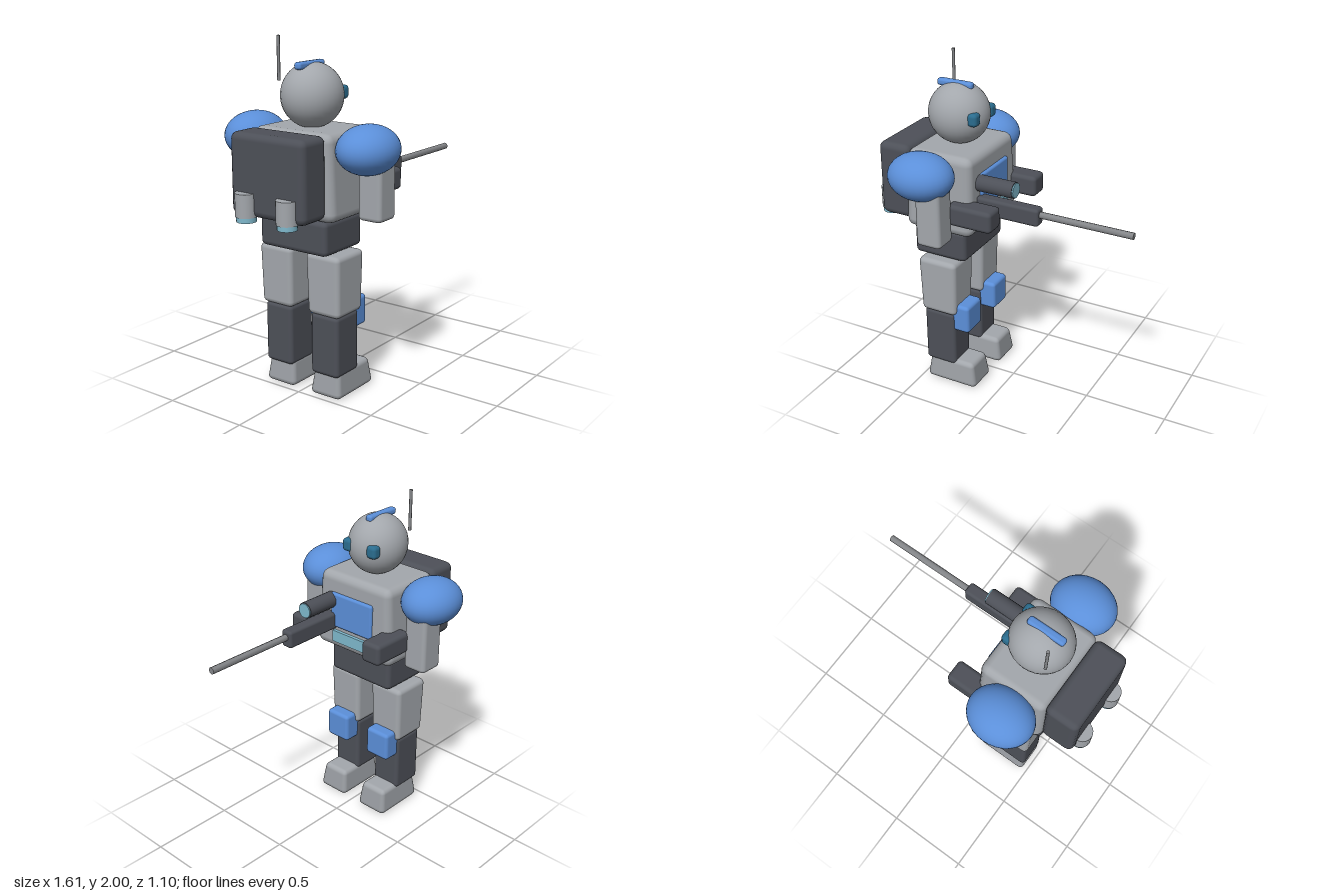
import * as THREE from 'three';
import { RoundedBoxGeometry } from 'three/addons/geometries/RoundedBoxGeometry.js';

const mat = (name, color) => {
  const m = new THREE.MeshStandardMaterial({ color });
  m.name = name;
  return m;
};

export function createModel() {
  const robot = new THREE.Group();
  robot.name = 'robot';
  const grey = mat('light grey armour', 0xa3a7ac);
  const dark = mat('dark grey metal', 0x4d5058);
  const blue = mat('blue armour', 0x5b8fd9);
  const steel = mat('barrel steel', 0x85878a);
  const eyeTeal = mat('deep teal glass', 0x2b6d8f);
  const paleTeal = mat('pale teal glow', 0x7fb8cc);

  const add = (name, geometry, material, x, y, z) => {
    const mesh = new THREE.Mesh(geometry, material);
    mesh.name = name;
    mesh.position.set(x, y, z);
    robot.add(mesh);
    return mesh;
  };

  // Soft-edged box given by its limits; taper scales x and z from bottom to top
  const block = (name, material, [x0, x1], [y0, y1], [z0, z1], r = 0.025, bottom = [1, 1], top = [1, 1]) => {
    const h = y1 - y0;
    const g = new RoundedBoxGeometry(x1 - x0, h, z1 - z0, 2, r);
    const p = g.attributes.position;
    if (bottom[0] !== 1 || bottom[1] !== 1 || top[0] !== 1 || top[1] !== 1) {
      for (let i = 0; i < p.count; i++) {
        const t = p.getY(i) / h + 0.5;
        p.setX(i, p.getX(i) * THREE.MathUtils.lerp(bottom[0], top[0], t));
        p.setZ(i, p.getZ(i) * THREE.MathUtils.lerp(bottom[1], top[1], t));
      }
    }
    return add(name, g, material, (x0 + x1) / 2, (y0 + y1) / 2, (z0 + z1) / 2);
  };

  const ball = (name, material, x, y, z, rx, ry, rz) =>
    add(name, new THREE.SphereGeometry(1, 32, 20), material, x, y, z).scale.set(rx, ry, rz);

  // Cylinder lying along x
  const rod = (name, material, x0, x1, y, z, r, sides) =>
    add(name, new THREE.CylinderGeometry(r, r, x1 - x0, sides).rotateZ(-Math.PI / 2), material, (x0 + x1) / 2, y, z);

  // Body
  block('torso', grey, [-0.56, -0.125], [1.04, 1.515], [-0.29, 0.29], 0.05, [1, 1], [0.95, 0.9]);
  block('pelvis', dark, [-0.54, -0.2], [0.845, 1.04], [-0.228, 0.228], 0.03);
  block('chestPanel', blue, [-0.16, -0.115], [1.185, 1.4], [-0.155, 0.16], 0.015);
  add('chestVent', new THREE.BoxGeometry(0.05, 0.07, 0.27), paleTeal, -0.133, 1.13, 0);

  // Backpack
  block('backpack', dark, [-0.75, -0.545], [1.065, 1.515], [-0.25, 0.25], 0.04);

  // Head
  ball('head', grey, -0.347, 1.68, 0, 0.181, 0.179, 0.17);
  block('headCrest', blue, [-0.48, -0.255], [1.825, 1.866], [-0.023, 0.023], 0.016);
  add('antenna', new THREE.CylinderGeometry(0.009, 0.009, 0.24, 8), steel, -0.46, 1.88, -0.138);

  // Mirrored parts
  for (const s of [-1, 1]) {
    const side = (c, half) => [s * c - half, s * c + half];

    block('eye', eyeTeal, [-0.235, -0.172], [1.65, 1.727], side(0.09, 0.034), 0.022);

    add('thruster', new THREE.CylinderGeometry(0.06, 0.06, 0.13, 20), grey, -0.745, 1.133, s * 0.14);
    add('thrusterGlow', new THREE.CylinderGeometry(0.055, 0.055, 0.03, 20), paleTeal, -0.745, 1.055, s * 0.14);

    ball('shoulder', blue, -0.372, 1.428, s * 0.387, 0.194, 0.135, 0.163);
    block('upperArm', grey, [-0.375, -0.22], [1.035, 1.42], side(0.391, 0.074), 0.025);
    block('forearm', dark, [-0.25, 0.03], [1.135, 1.262], side(0.276, 0.065), 0.025);

    block('thigh', grey, [-0.495, -0.245], [0.485, 0.84], side(0.163, 0.113), 0.03, [0.92, 0.94], [1, 1]);
    block('shin', dark, [-0.475, -0.27], [0.13, 0.49], side(0.162, 0.094), 0.025);
    block('kneePad', blue, [-0.3, -0.178], [0.375, 0.553], side(0.162, 0.083), 0.022);
    block('foot', grey, [-0.473, -0.13], [0, 0.16], side(0.16, 0.105), 0.03, [1, 1], [0.85, 0.82]);
  }

  // Gun with scope
  block('gunBody', dark, [-0.16, 0.25], [1.17, 1.275], [0.122, 0.198], 0.018);
  rod('gunBarrel', steel, 0.24, 0.8, 1.235, 0.16, 0.02, 8);
  rod('scope', dark, -0.16, 0.093, 1.35, 0.16, 0.048, 20);
  rod('scopeLens', paleTeal, 0.09, 0.1, 1.35, 0.16, 0.043, 20);

  return robot;
}
